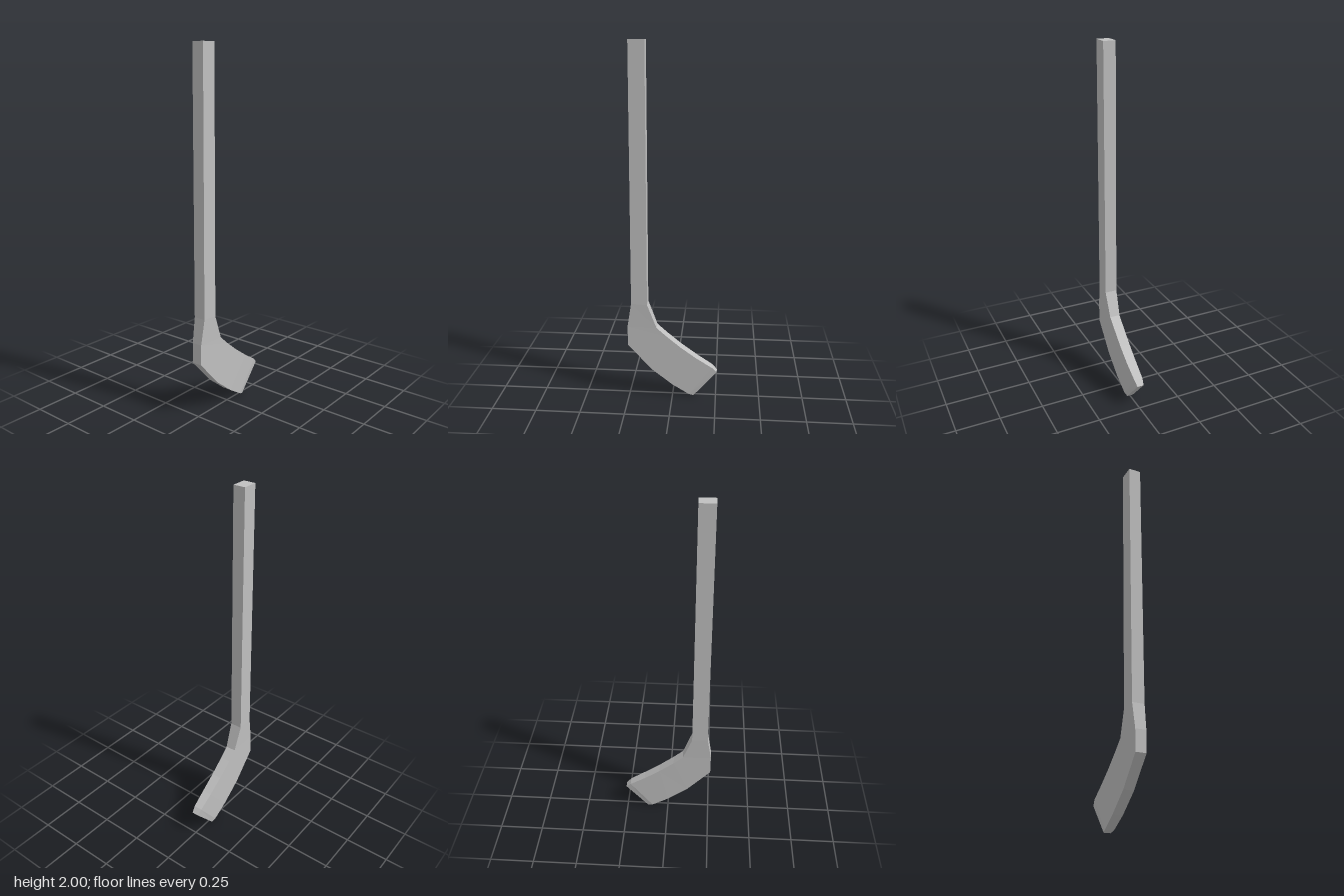
import * as THREE from 'three';

// Lofts four-sided sections: [left x, left y, right x, right y, z front, z back]
function loft(sections, capStart, capEnd) {
  const pos = [], index = [];
  for (const [lx, ly, rx, ry, zf, zb] of sections) {
    pos.push(lx, ly, zf, rx, ry, zf, rx, ry, zb, lx, ly, zb);
  }
  for (let i = 0; i < sections.length - 1; i++) {
    for (let j = 0; j < 4; j++) {
      const k = (j + 1) % 4;
      const a = i * 4 + j, b = a + 4, c = (i + 1) * 4 + k, d = i * 4 + k;
      index.push(a, b, c, a, c, d);
    }
  }
  const e = (sections.length - 1) * 4;
  if (capStart) index.push(0, 1, 2, 0, 2, 3);
  if (capEnd) index.push(e, e + 2, e + 1, e, e + 3, e + 2);
  const geometry = new THREE.BufferGeometry();
  geometry.setAttribute('position', new THREE.Float32BufferAttribute(pos, 3));
  geometry.setIndex(index);
  const flat = geometry.toNonIndexed();
  flat.computeVertexNormals();
  return flat;
}

export function createModel() {
  const group = new THREE.Group();
  group.name = 'stick';
  const grey = new THREE.MeshStandardMaterial({ color: 0xc0c0c0 });
  grey.name = 'light grey';

  const add = (name, geometry) => {
    const mesh = new THREE.Mesh(geometry, grey);
    mesh.name = name;
    group.add(mesh);
  };

  // Long straight handle
  const neck = [-0.232, 0.57, -0.142, 0.565, 0.034, -0.035];
  add('shaft', loft([[-0.226, 2, -0.14, 2, 0.034, -0.035], neck], true, false));

  // Flared heel and blade, thinning to a bevelled toe
  add('blade', loft([
    neck,
    [-0.255, 0.43, -0.09, 0.425, 0.029, -0.031],
    [-0.255, 0.315, -0.035, 0.375, 0.028, -0.031],
    [-0.12, 0.165, 0.05, 0.305, 0.028, -0.03],
    [0, 0.07, 0.14, 0.24, 0.027, -0.029],
    [0.095, 0.01, 0.228, 0.183, 0.023, -0.027],
    [0.122, 0, 0.255, 0.155, 0.017, -0.021],
  ], false, true));

  return group;
}
